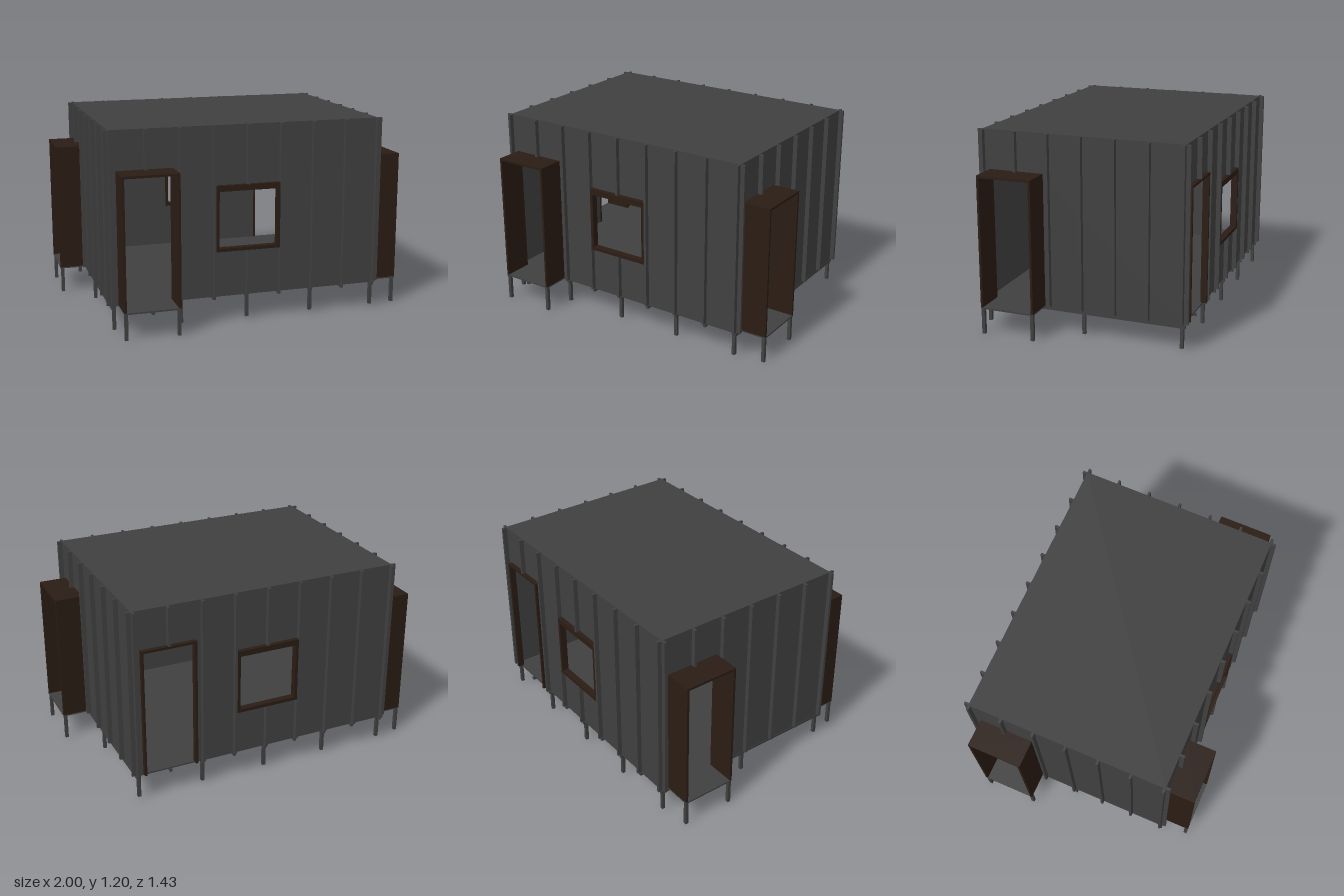
import * as THREE from 'three';

const FLOOR = 0.165, TOP = 1.195, DOOR_TOP = 0.96, DOOR_HALF = 0.168;
const MID_Z = -0.075, HALF_X = 0.83, HALF_Z = 0.615;

const grey = new THREE.MeshStandardMaterial({ color: 0x404040 });
const brown = new THREE.MeshStandardMaterial({ color: 0x2a1c14 });

// Box given by its extents on each axis
function box(parent, name, [x0, x1], [y0, y1], [z0, z1], material = grey) {
  const mesh = new THREE.Mesh(new THREE.BoxGeometry(x1 - x0, y1 - y0, z1 - z0), material);
  mesh.position.set((x0 + x1) / 2, (y0 + y1) / 2, (z0 + z1) / 2);
  mesh.name = name;
  parent.add(mesh);
  return mesh;
}

const around = (c, half) => [c - half, c + half];

function rect(target, x0, x1, y0, y1) {
  target.moveTo(x0, y0);
  target.lineTo(x1, y0);
  target.lineTo(x1, y1);
  target.lineTo(x0, y1);
  target.closePath();
  return target;
}

// One wall facing local +z, with its outer face on z = 0
function makeWall(name, half, { door, battens, window, porch }) {
  const wall = new THREE.Group();
  wall.name = name;
  const d0 = door - DOOR_HALF, d1 = door + DOOR_HALF;

  // Sheet with openings
  const shape = rect(new THREE.Shape(), -half, half, FLOOR, TOP);
  shape.holes.push(rect(new THREE.Path(), d0 + 0.008, d1 - 0.008, FLOOR + 0.002, DOOR_TOP - 0.008));
  if (window) shape.holes.push(rect(new THREE.Path(), -0.19, 0.19, 0.45, 0.83));
  const sheet = new THREE.Mesh(new THREE.ExtrudeGeometry(shape, { depth: 0.01, bevelEnabled: false }), grey);
  sheet.position.z = -0.01;
  sheet.name = 'wallSheet';
  wall.add(sheet);

  // Battens, broken at the openings
  const edge = half - 0.006;
  for (let i = 0; i < battens; i++) {
    const u = -edge + (2 * edge * i) / (battens - 1);
    const put = (y) => box(wall, 'batten', around(u, 0.0075), y, [0, 0.028]);
    if (Math.abs(u - door) < DOOR_HALF) put([DOOR_TOP, TOP]);
    else if (window && Math.abs(u) < 0.19) {
      put([FLOOR, 0.44]);
      put([0.84, TOP]);
    } else put([FLOOR, TOP]);
  }

  // Door lining, drawn out into a porch where there is one
  const depth = [-0.012, porch ? 0.17 : 0.027];
  box(wall, 'doorSide', [d0, d0 + 0.014], [FLOOR, DOOR_TOP], depth, brown);
  box(wall, 'doorSide', [d1 - 0.014, d1], [FLOOR, DOOR_TOP], depth, brown);
  box(wall, 'doorHead', [d0, d1], [DOOR_TOP - 0.014, DOOR_TOP], depth, brown);
  if (porch) {
    box(wall, 'porchFloor', [d0, d1], [FLOOR - 0.008, FLOOR + 0.002], [0, 0.17]);
    for (const u of [d0 + 0.011, d1 - 0.011])
      box(wall, 'porchLeg', around(u, 0.01), [0, FLOOR - 0.004], [0.146, 0.166]);
  }

  // Window lining
  if (window) {
    const d = [-0.014, 0.027];
    for (const s of [-1, 1]) box(wall, 'windowSide', around(s * 0.19, 0.01), [0.44, 0.84], d, brown);
    box(wall, 'windowSill', [-0.2, 0.2], [0.44, 0.46], d, brown);
    box(wall, 'windowHead', [-0.2, 0.2], [0.805, 0.84], d, brown);
  }
  return wall;
}

export function createModel() {
  const model = new THREE.Group();
  model.name = 'cabin';
  const zBack = MID_Z - HALF_Z, zFront = MID_Z + HALF_Z;

  // Four walls
  const long = { door: -0.62, battens: 9, window: true };
  const short = { door: -0.405, battens: 7, window: false, porch: true };
  const walls = [
    ['frontWall', HALF_X, { ...long, porch: true }, 0, 0, zFront],
    ['backWall', HALF_X, { ...long, porch: false }, Math.PI, 0, zBack],
    ['leftWall', HALF_Z, short, Math.PI / 2, HALF_X, MID_Z],
    ['rightWall', HALF_Z, short, -Math.PI / 2, -HALF_X, MID_Z],
  ];
  for (const [name, half, options, turn, x, z] of walls) {
    const wall = makeWall(name, half, options);
    wall.rotation.y = turn;
    wall.position.set(x, 0, z);
    model.add(wall);
  }

  // Floor and roof sheets
  box(model, 'floor', [-HALF_X, HALF_X], [FLOOR - 0.008, FLOOR + 0.002], [zBack, zFront]);
  box(model, 'roof', [-HALF_X, HALF_X], [TOP - 0.01, TOP + 0.001], [zBack, zFront]);

  // Joists under floor and roof
  for (let i = 0; i < 9; i++) {
    const x = -0.824 + 0.206 * i;
    const front = i === 1 ? 0.705 : zFront + 0.01;
    box(model, 'floorJoist', around(x, 0.0075), [0.14, FLOOR - 0.006], [zBack - 0.01, front]);
    box(model, 'roofJoist', around(x * 0.985, 0.0075), [TOP - 0.035, TOP - 0.008], [zBack + 0.01, zFront - 0.01]);
  }
  box(model, 'floorBeam', [-HALF_X, HALF_X], [0.141, FLOOR - 0.006], around(MID_Z, 0.0075));
  box(model, 'roofBeam', [-HALF_X + 0.01, HALF_X - 0.01], [TOP - 0.034, TOP - 0.008], around(MID_Z, 0.0075));

  // Supporting legs
  for (const x of [-0.815, -0.41, 0, 0.41, 0.815])
    for (const z of [0.533, -0.08, -0.678])
      box(model, 'leg', around(x, 0.01), [0.015, FLOOR - 0.004], around(z, 0.01));

  return model;
}
